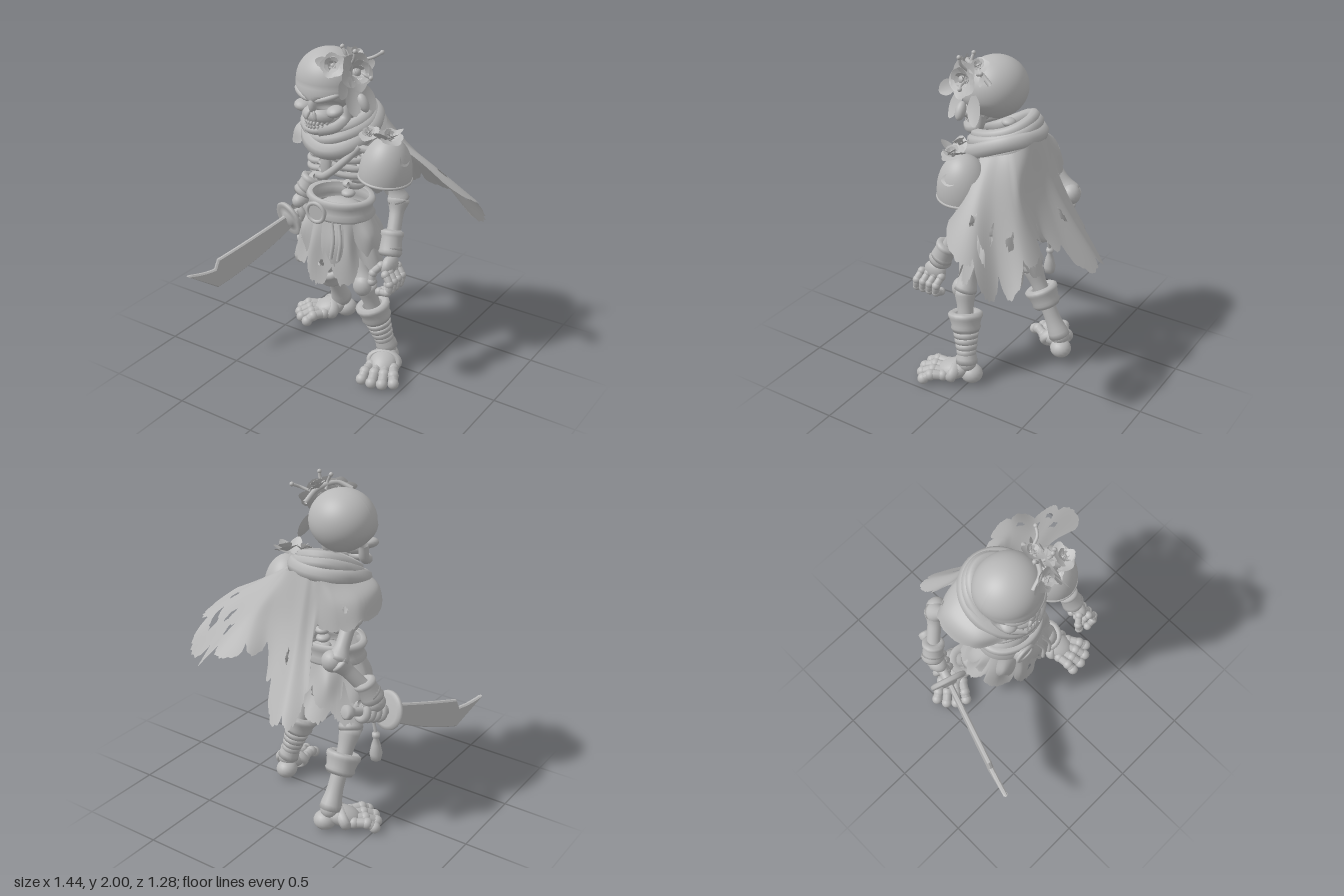
import * as THREE from 'three';

const V = (x, y, z) => new THREE.Vector3(x, y, z);
const grey = new THREE.MeshStandardMaterial({ color: 0xb8b8b8, side: THREE.DoubleSide });
grey.name = 'clay grey';
const rnd = (i) => { const s = Math.sin(i * 127.1 + 11.7) * 43758.5453; return s - Math.floor(s); };
const UP = V(0, 1, 0);

export function createModel() {
  const model = new THREE.Group();
  const section = (name, parent = model) => { const g = new THREE.Group(); g.name = name; parent.add(g); return g; };
  const add = (parent, name, geo, p = V(0, 0, 0)) => {
    const m = new THREE.Mesh(geo, grey);
    m.name = name; m.position.copy(p); parent.add(m);
    return m;
  };
  const ball = (g, name, p, rx, ry = rx, rz = rx, rot = [0, 0, 0]) => {
    const m = add(g, name, new THREE.SphereGeometry(1, 18, 12), p);
    m.scale.set(rx, ry, rz); m.rotation.set(...rot);
    return m;
  };
  const tube = (g, name, pts, r, closed = false, seg = 24) =>
    add(g, name, new THREE.TubeGeometry(new THREE.CatmullRomCurve3(pts, closed), seg, r, 8, closed));
  // Lathe profile [radius, distance] laid from a towards b
  const turned = (g, name, a, b, profile) => {
    const m = add(g, name, new THREE.LatheGeometry(profile.map(([r, t]) => new THREE.Vector2(r, t)), 20), a);
    m.quaternion.setFromUnitVectors(UP, b.clone().sub(a).normalize());
    return m;
  };
  // Bone with a slim shaft and swollen ends
  const bone = (g, name, a, b, r, knob = 1.6) => {
    const L = a.distanceTo(b), prof = [[0.001, -r]];
    for (let i = 0; i <= 16; i++) {
      const t = i / 16, e = Math.exp(-((t / 0.16) ** 2)) + Math.exp(-(((1 - t) / 0.16) ** 2));
      prof.push([r * (1 + (knob - 1) * e), t * L]);
    }
    prof.push([0.001, L + r]);
    return turned(g, name, a, b, prof);
  };
  // Thick open cuff with softly rolled rims
  const cuff = (g, name, a, b, r0, r1) => {
    const L = a.distanceTo(b), t = 0.014;
    return turned(g, name, a, b, [[r0 - 0.03, 0.005], [r0 - 0.005, -0.006], [r0 + t, 0.006], [r0 + t, 0.025], [r0 + t * 0.5, 0.038],
      [r1 + t * 0.4, L - 0.03], [r1 + t * 0.8, L - 0.015], [r1, L + 0.006], [r1 - 0.03, L]]);
  };
  // Ragged cloth: curves hang from top to hem, torn into strips and pierced by holes [u, v, ru, rv]
  const cloth = (g, name, cols, closed, strips, tear, holes = [], nu = 140, nv = 24) => {
    const rows = cols[0].map((_, k) => new THREE.CatmullRomCurve3(cols.map((c) => c[k]), closed, 'centripetal'));
    const pos = [], idx = [];
    for (let i = 0; i <= nu; i++) {
      const u = i / nu, f = u * strips, s = Math.floor(f);
      const cut = Math.pow(Math.abs(f - s - 0.5) * 2, 2.5) * (0.35 + rnd(closed ? s % strips : s)) + 0.2 * rnd(i * 3 + strips);
      const down = new THREE.CatmullRomCurve3(rows.map((c) => c.getPoint(u)));
      for (let j = 0; j <= nv; j++) pos.push(...down.getPoint((j / nv) * (1 - tear * Math.min(cut, 1.4))).toArray());
    }
    for (let i = 0; i < nu; i++) for (let j = 0; j < nv; j++) {
      if (holes.some(([u, v, a, b]) => (((i + 0.5) / nu - u) / a) ** 2 + (((j + 0.5) / nv - v) / b) ** 2 < 1)) continue;
      const a = i * (nv + 1) + j, b = a + nv + 1;
      idx.push(a, a + 1, b, b, a + 1, b + 1);
    }
    const geo = new THREE.BufferGeometry();
    geo.setAttribute('position', new THREE.Float32BufferAttribute(pos, 3));
    geo.setIndex(idx); geo.computeVertexNormals();
    return add(g, name, geo);
  };
  // Curved leaf or petal growing from p along dir, cupped towards its face
  const leaf = (g, name, p, dir, face, L, W, bend = 0.2) => {
    const geo = new THREE.PlaneGeometry(1, 1, 4, 8), q = geo.attributes.position;
    for (let i = 0; i < q.count; i++) {
      const t = q.getY(i) + 0.5, x = q.getX(i) * W * Math.pow(Math.sin(Math.PI * (0.06 + 0.92 * t)), 0.6);
      q.setXYZ(i, x, t * L, bend * L * t * t + x * x * 4);
    }
    geo.computeVertexNormals();
    const y = dir.clone().normalize(), x = y.clone().cross(face).normalize();
    add(g, name, geo, p).quaternion.setFromRotationMatrix(new THREE.Matrix4().makeBasis(x, y, x.clone().cross(y)));
  };
  const flower = (g, p, normal, r) => {
    const f = section('flower', g);
    f.position.copy(p); f.quaternion.setFromUnitVectors(UP, normal.clone().normalize());
    for (let k = 0; k < 3; k++) for (let i = 0; i < 5; i++) {
      const a = (i + k * 0.5) * Math.PI * 0.4;
      leaf(f, 'petal', V(0, k * 0.008, 0), V(Math.sin(a), 0.2 + k * 0.5, Math.cos(a)), UP, r * (1 - k * 0.25), r * (1.1 - k * 0.2), 0.1);
    }
    ball(f, 'flowerHeart', V(0, r * 0.2, 0), r * 0.25);
  };

  // Skull: sphere with eye sockets pressed in and the face drawn forward
  const head = section('head'), HX = -0.095;
  const sg = new THREE.SphereGeometry(1, 64, 48), sp = sg.attributes.position;
  const pit = (x, y, cx, cy, w, h) => Math.exp(-((((x - cx) / w) ** 2 + ((y - cy) / h) ** 2) ** 2));
  for (let i = 0; i < sp.count; i++) {
    let x = sp.getX(i) * 0.195, y = sp.getY(i) * 0.178, z = sp.getZ(i) * 0.185;
    if (z > 0) {
      z -= 0.05 * (pit(x, y, -0.08, -0.1, 0.052, 0.032) + pit(x, y, 0.08, -0.1, 0.052, 0.032));
      if (y < 0) z += 0.32 * -y * Math.min(1, z / 0.1);
    }
    if (y < -0.05) x *= 1 + (y + 0.05) * 0.8;
    sp.setXYZ(i, x, y, z);
  }
  sg.computeVertexNormals();
  add(head, 'cranium', sg, V(HX, 1.765, 0.055));
  for (const s of [-1, 1]) {
    ball(head, 'brow', V(HX + s * 0.082, 1.708, 0.2), 0.078, 0.024, 0.036, [0, s * 0.45, s * 0.32]);
    ball(head, 'cheekbone', V(HX + s * 0.105, 1.622, 0.165), 0.05, 0.032, 0.055, [0, s * 0.7, s * 0.25]);
    ball(head, 'noseWing', V(HX + s * 0.022, 1.602, 0.24), 0.012, 0.028, 0.012, [0, 0, s * 0.35]);
    tube(head, 'jawBranch', [V(HX + s * 0.128, 1.64, 0.07), V(HX + s * 0.122, 1.56, 0.09), V(HX + s * 0.1, 1.525, 0.16), V(HX + s * 0.03, 1.51, 0.225)], 0.03);
  }
  ball(head, 'noseBridge', V(HX, 1.66, 0.228), 0.024, 0.045, 0.025);
  ball(head, 'upperJaw', V(HX, 1.59, 0.17), 0.1, 0.055, 0.078);
  ball(head, 'chin', V(HX, 1.512, 0.21), 0.065, 0.03, 0.042);
  for (let i = -4; i <= 4; i++) for (const y of [1.556, 1.536])
    ball(head, 'tooth', V(HX + i * 0.018, y, 0.244 - i * i * 0.0032), 0.009, 0.013, 0.01);

  // Flowers, leaves and twigs on the head and shoulder
  const blooms = section('flowers');
  tube(blooms, 'wreathStem', [V(-0.06, 1.9, 0.2), V(0.02, 1.93, 0.17), V(0.08, 1.91, 0.06), V(0.1, 1.85, -0.03)], 0.014);
  flower(blooms, V(0.1, 1.85, 0.12), V(1, 0.3, 0.3), 0.115);
  flower(blooms, V(0.02, 1.89, 0.19), V(0.3, 0.5, 0.9), 0.075);
  flower(blooms, V(0.07, 1.92, 0.06), V(0.6, 1, -0.1), 0.065);
  for (const [p, d, n, L, W] of [
    [V(0.11, 1.79, 0.15), V(0.15, -1, 0.2), V(1, 0.2, 0.5), 0.17, 0.1], [V(0.11, 1.77, 0.07), V(0.25, -1, -0.35), V(1, 0.2, 0.2), 0.17, 0.1],
    [V(0.1, 1.82, 0.2), V(0.05, -0.5, 0.6), V(1, 0, 0.3), 0.11, 0.09], [V(0.0, 1.9, 0.2), V(-0.8, 0.1, 0.1), V(0, 0.4, 1), 0.08, 0.06],
    [V(0.1, 1.86, 0.04), V(0.4, 0.2, -0.8), V(1, 0.5, 0.2), 0.08, 0.07]])
    leaf(blooms, 'leaf', p, d, n, L, W);
  ball(blooms, 'hangingBud', V(0.165, 1.69, 0.12), 0.03, 0.055, 0.03, [0, 0, 0.5]);
  for (const [a, b] of [[V(0.05, 1.9, 0.1), V(0.03, 1.985, 0.12)], [V(0.09, 1.9, 0.12), V(0.13, 1.98, 0.15)],
    [V(0.11, 1.9, 0.03), V(0.19, 1.94, -0.03)], [V(0.12, 1.86, 0.1), V(0.2, 1.83, 0.1)]]) {
    tube(blooms, 'twig', [a, a.clone().lerp(b, 0.5).add(V(0.012, 0, 0.01)), b], 0.009, false, 8);
    ball(blooms, 'bud', b, 0.013);
  }
  flower(blooms, V(0.31, 1.49, 0.07), V(0.4, 1, 0.2), 0.075);
  flower(blooms, V(0.2, 1.5, 0.1), V(-0.1, 1, 0.5), 0.065);
  for (const [x, z] of [[0.1, 0.5], [0.7, 0.2], [0.6, -0.5], [-0.5, 0.2]])
    leaf(blooms, 'shoulderLeaf', V(0.27, 1.48, 0.07), V(x, 0.25, z), UP, 0.12, 0.08);
  leaf(blooms, 'pauldronLeaf', V(0.385, 1.39, 0.0), V(0.1, -0.2, 1), V(1, 0.5, 0), 0.1, 0.07, 0);

  // Spine, ribs, collarbones and pelvis
  const torso = section('torso');
  for (let i = 0; i < 11; i++) ball(torso, 'vertebra', V(-0.05 - i * 0.002, 1.03 + i * 0.055, -0.06 - 0.04 * Math.sin(i * 0.35)), 0.042, 0.025, 0.042);
  for (let i = 0; i < 6; i++) for (const s of [-1, 1]) {
    const rx = [0.13, 0.165, 0.185, 0.185, 0.17, 0.14][i], y = 1.43 - i * 0.044, pts = [];
    for (let k = 0; k <= 8; k++) {
      const a = (-88 + (k / 8) * (i < 4 ? 166 : 125)) * Math.PI / 180;
      pts.push(V(-0.055 + s * rx * Math.cos(a), y - 0.07 * Math.sin((k / 8) * Math.PI * 0.8), 0.02 + 0.14 * Math.sin(a)));
    }
    tube(torso, 'rib', pts, 0.018);
  }
  ball(torso, 'breastbone', V(-0.06, 1.29, 0.155), 0.036, 0.1, 0.022);
  tube(torso, 'chestStrap', [V(0.13, 1.42, 0.1), V(0.05, 1.32, 0.165), V(-0.05, 1.23, 0.175), V(-0.14, 1.19, 0.12)], 0.022);
  tube(torso, 'collarbones', [V(-0.3, 1.4, -0.12), V(-0.15, 1.41, 0.06), V(-0.05, 1.4, 0.1), V(0.1, 1.41, 0.1), V(0.27, 1.38, 0.04)], 0.024);
  for (const x of [-0.2, 0.1]) ball(torso, 'shoulderBlade', V(x, 1.33, -0.15), 0.075, 0.1, 0.022);
  ball(torso, 'pelvis', V(-0.05, 0.93, 0.01), 0.17, 0.09, 0.12);

  // Scarf folds, high behind and drooping in front: [height, x radius, z radius, thickness, tilt]
  const scarf = section('scarf');
  [[1.515, 0.17, 0.18, 0.042, 0.075], [1.475, 0.185, 0.2, 0.052, 0.08], [1.43, 0.17, 0.19, 0.042, 0.06], [1.55, 0.15, 0.165, 0.036, 0.07]].forEach(([y, rx, rz, r, tilt], k) => {
    const pts = [];
    for (let i = 0; i < 12; i++) {
      const a = (i / 12) * Math.PI * 2;
      pts.push(V(-0.065 + rx * Math.cos(a), y - tilt * Math.sin(a) + 0.014 * Math.sin(a * 2 + k * 2), -0.025 + rz * Math.sin(a)));
    }
    tube(scarf, 'scarfFold', pts, r, true, 56);
  });

  // Torn cape blowing to the left, with a long tail behind
  cloth(scarf, 'cape', [
    [V(-0.1, 1.46, 0.17), V(-0.2, 1.42, 0.16), V(-0.25, 1.36, 0.15)],
    [V(-0.24, 1.49, 0.04), V(-0.34, 1.43, 0.05), V(-0.385, 1.32, 0.03)],
    [V(-0.25, 1.5, -0.12), V(-0.35, 1.42, -0.17), V(-0.39, 1.29, -0.21)],
    [V(-0.18, 1.53, -0.22), V(-0.26, 1.4, -0.26), V(-0.3, 1.25, -0.28)],
    [V(-0.14, 1.55, -0.245), V(-0.17, 1.4, -0.28), V(-0.19, 1.25, -0.32)],
    [V(-0.11, 1.55, -0.25), V(-0.14, 1.22, -0.35), V(-0.24, 0.86, -0.53)],
    [V(-0.08, 1.55, -0.26), V(-0.09, 1.2, -0.38), V(-0.16, 0.74, -0.65)],
    [V(0, 1.54, -0.26), V(0.0, 1.22, -0.34), V(0.04, 0.86, -0.51)],
    [V(0.07, 1.52, -0.24), V(0.14, 1.27, -0.3), V(0.13, 1.04, -0.38)],
    [V(0.12, 1.5, -0.2), V(0.24, 1.26, -0.32), V(0.24, 1.02, -0.46)],
    [V(0.14, 1.49, -0.17), V(0.3, 1.25, -0.31), V(0.46, 0.97, -0.5)],
    [V(0.16, 1.48, -0.13), V(0.39, 1.25, -0.24), V(0.63, 0.84, -0.44)],
    [V(0.19, 1.47, -0.08), V(0.43, 1.3, -0.17), V(0.73, 1.03, -0.31)],
    [V(0.2, 1.46, -0.03), V(0.4, 1.34, -0.08), V(0.66, 1.2, -0.06)]],
  false, 13, 0.13, [[0.5, 0.64, 0.01, 0.04], [0.8, 0.7, 0.012, 0.04], [0.9, 0.8, 0.015, 0.05], [0.94, 0.66, 0.012, 0.05], [0.86, 0.66, 0.01, 0.035], [0.2, 0.6, 0.008, 0.06]], 220);

  // Belt, buckle and torn skirt
  const waist = section('waist');
  const belt = add(waist, 'belt', new THREE.LatheGeometry([[0.9, -0.06], [1, -0.065], [1.08, -0.045], [1, -0.02], [1, 0.02], [1.08, 0.04], [1.02, 0.065], [0.88, 0.06]].map(([r, y]) => new THREE.Vector2(r, y)), 48), V(-0.05, 1.005, 0.02));
  belt.scale.set(0.2, 1, 0.16);
  add(waist, 'buckle', new THREE.CylinderGeometry(0.06, 0.065, 0.03, 32), V(-0.105, 0.99, 0.185)).rotation.x = Math.PI / 2;
  add(waist, 'buckleRim', new THREE.TorusGeometry(0.058, 0.012, 10, 32), V(-0.105, 0.99, 0.198));
  const panels = (drop, spread, n) => Array.from({ length: n }, (_, i) => {
    const a = (i / n) * Math.PI * 2, c = Math.cos(a), s = Math.sin(a), wave = 0.02 * Math.sin(i * 2.4);
    const h = drop + 0.13 * Math.max(0, s) ** 3 + 0.03 * Math.max(0, -s);
    return [V(-0.05 + 0.195 * c, 0.96, 0.02 + 0.155 * s), V(-0.05 + (0.25 + wave) * c, 0.96 - h * 0.45, 0.01 + (0.19 + wave) * s),
      V(-0.05 + spread * c, 0.96 - h, -0.02 + spread * 0.74 * s)];
  });
  cloth(waist, 'skirt', panels(0.32, 0.32, 20), true, 9, 0.32, [[0.23, 0.6, 0.008, 0.05], [0.26, 0.72, 0.009, 0.04], [0.21, 0.78, 0.006, 0.04], [0.75, 0.6, 0.01, 0.06]], 200);
  cloth(waist, 'upperSkirt', panels(0.22, 0.285, 16), true, 8, 0.45);
  for (const x of [0.0, 0.05]) tube(waist, 'beltCord', [V(x, 0.95, 0.19), V(x + 0.03, 0.85, 0.22), V(x + 0.02, 0.74, 0.23)], 0.011, false, 12);

  // Left arm, open hand and pauldron
  const leftArm = section('leftArm'), lE = V(0.33, 1.11, 0.0), lW = V(0.365, 0.86, 0.13);
  bone(leftArm, 'upperArm', V(0.27, 1.36, 0.04), lE, 0.04);
  ball(leftArm, 'elbow', lE, 0.054, 0.065, 0.056);
  bone(leftArm, 'forearm', lE, lW, 0.04);
  cuff(leftArm, 'wristCuff', V(0.35, 0.955, 0.09), V(0.367, 0.83, 0.145), 0.052, 0.058);
  ball(leftArm, 'palm', V(0.38, 0.775, 0.165), 0.042, 0.06, 0.07);
  const digit = (g, name, pts, r) => { tube(g, name, pts, r * 0.86, false, 12); pts.forEach((p) => ball(g, 'knuckle', p, r)); };
  for (let i = 0; i < 4; i++) {
    const z = 0.11 + i * 0.045;
    digit(leftArm, 'finger', [V(0.4, 0.755, z), V(0.435, 0.71, z + 0.012), V(0.425, 0.66, z + 0.02), V(0.375, 0.64 + 0.012 * (i % 2), z + 0.022)], 0.025);
  }
  digit(leftArm, 'thumb', [V(0.35, 0.785, 0.21), V(0.315, 0.74, 0.24), V(0.315, 0.69, 0.25)], 0.025);
  const pauldron = section('pauldron');
  pauldron.position.set(0.262, 1.265, 0.035); pauldron.rotation.z = -0.1;
  add(pauldron, 'pauldronDome', new THREE.SphereGeometry(1, 40, 20, 0, Math.PI * 2, 0, Math.PI * 0.54)).scale.set(0.15, 0.225, 0.156);
  const rim = add(pauldron, 'pauldronRim', new THREE.TorusGeometry(1, 0.06, 10, 48), V(0, -0.02, 0));
  rim.rotation.x = Math.PI / 2; rim.scale.set(0.147, 0.153, 0.15);

  // Right arm
  const rightArm = section('rightArm'), rE = V(-0.32, 1.11, -0.32), rW = V(-0.47, 0.9, -0.2);
  bone(rightArm, 'upperArm', V(-0.3, 1.37, -0.12), rE, 0.04);
  ball(rightArm, 'elbow', V(-0.295, 1.11, -0.335), 0.062, 0.062, 0.058);
  bone(rightArm, 'forearm', rE, rW, 0.04);
  cuff(rightArm, 'wristCuff', V(-0.43, 0.985, -0.23), V(-0.478, 0.87, -0.195), 0.052, 0.058);

  // Sword, built along its own +y from the guard, with the fist on the grip
  const sword = section('sword');
  sword.position.set(-0.49, 0.745, -0.06);
  const fwd = V(-0.22, -0.21, 0.7).normalize();
  const wide = UP.clone().addScaledVector(fwd, -fwd.y).normalize();
  sword.quaternion.setFromRotationMatrix(new THREE.Matrix4().makeBasis(wide, fwd, wide.clone().cross(fwd)));
  const shape = new THREE.Shape();
  shape.moveTo(0.03, 0); shape.quadraticCurveTo(0.025, 0.3, 0.035, 0.54); shape.lineTo(-0.015, 0.58); shape.quadraticCurveTo(0.0, 0.66, 0.055, 0.755);
  shape.lineTo(-0.125, 0.6); shape.quadraticCurveTo(-0.13, 0.3, -0.055, 0);
  add(sword, 'blade', new THREE.ExtrudeGeometry(shape, { depth: 0.012, bevelSize: 0.008, bevelThickness: 0.008, bevelSegments: 1, curveSegments: 12 }), V(0, 0, -0.006));
  const lathe = (name, prof) => add(sword, name, new THREE.LatheGeometry(prof.map(([r, y]) => new THREE.Vector2(r, y)), 32));
  lathe('guard', [[0, -0.02], [0.09, -0.02], [0.112, -0.012], [0.115, 0.005], [0.105, 0.016], [0.085, 0.008], [0.05, 0.012], [0.04, 0.03], [0, 0.03]]);
  lathe('grip', [[0, -0.33], [0.03, -0.33], [0.042, -0.32], [0.042, -0.295], [0.03, -0.28], [0.025, -0.26], [0.027, -0.1], [0.03, -0.02]]);
  for (let i = 0; i < 4; i++)
    add(sword, 'grippingFinger', new THREE.TorusGeometry(0.044, 0.023, 10, 24, 5), V(0, -0.2 + i * 0.042, 0)).rotation.set(Math.PI / 2, 0, 0.6);
  ball(rightArm, 'palm', V(-0.475, 0.835, -0.17), 0.052, 0.052, 0.07);
  tube(rightArm, 'tasselCord', [V(-0.44, 0.78, -0.14), V(-0.43, 0.7, -0.12), V(-0.45, 0.6, -0.12)], 0.01, false, 12);
  turned(rightArm, 'tassel', V(-0.45, 0.62, -0.12), V(-0.455, 0.4, -0.12), [[0.001, 0], [0.022, 0.01], [0.024, 0.03], [0.014, 0.045], [0.026, 0.08], [0.038, 0.14], [0.03, 0.18], [0.001, 0.2]]);

  // Legs with cuffs, wrapped shins and broad bony feet
  const leg = (name, hip, knee, ankle, yaw, wraps) => {
    const g = section(name), at = (t) => knee.clone().lerp(ankle, t);
    bone(g, 'thighBone', hip, knee, 0.05, 1.45);
    ball(g, 'kneecap', knee.clone().add(V(0, 0.005, 0.03)), 0.06, 0.066, 0.05);
    bone(g, 'shinBone', knee, ankle, 0.047, 1.4);
    cuff(g, 'shinCuff', at(0.3), at(0.54), 0.09, 0.08);
    for (let i = 0; i < wraps; i++) turned(g, 'shinWrap', at(0.48 + i * 0.08), at(0.65 + i * 0.08), [[0.05, 0], [0.079 - i * 0.005, 0.006], [0.081 - i * 0.005, 0.022], [0.076 - i * 0.005, 0.04], [0.045, 0.046]]);
    ball(g, 'ankle', ankle, 0.058, 0.055, 0.058);
    const foot = section('foot', g);
    foot.position.set(ankle.x, 0, ankle.z); foot.rotation.y = yaw;
    ball(foot, 'heel', V(0, 0.058, -0.03), 0.066, 0.058, 0.068);
    ball(foot, 'instep', V(0, 0.075, 0.08), 0.085, 0.06, 0.11, [0.3, 0, 0]);
    const strap = add(foot, 'footWrap', new THREE.TorusGeometry(0.075, 0.02, 10, 28), V(0, 0.072, 0.075));
    strap.rotation.x = -0.45; strap.scale.set(1.15, 0.75, 1.6);
    for (let i = -1.5; i <= 1.5; i++) {
      const x = i * 0.057;
      digit(foot, 'toe', [V(x * 0.8, 0.062, 0.13), V(x, 0.062, 0.205), V(x * 1.12, 0.036, 0.275 - 0.012 * i * i)], 0.034);
    }
  };
  leg('leftLeg', V(0.07, 0.9, 0.05), V(0.175, 0.56, 0.1), V(0.285, 0.13, 0.02), 0.32, 5);
  leg('rightLeg', V(-0.16, 0.9, 0.0), V(-0.265, 0.57, -0.1), V(-0.265, 0.13, -0.31), -0.8, 1);
  return model;
}
